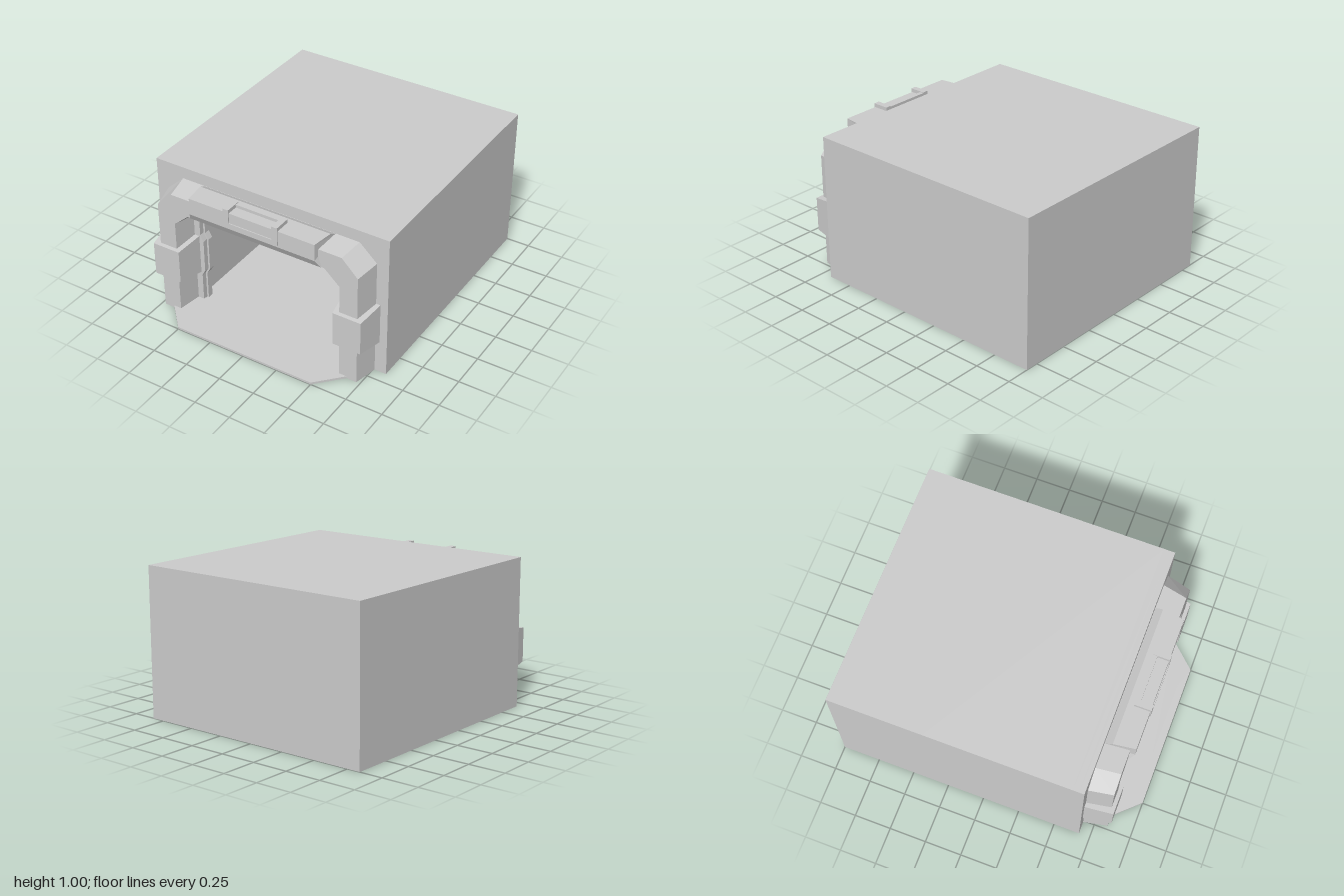
import * as THREE from 'three';

const material = new THREE.MeshStandardMaterial({ color: 0xcccccc, flatShading: true });

function add(parent, name, geometry, x = 0, y = 0, z = 0) {
  const mesh = new THREE.Mesh(geometry, material);
  mesh.name = name;
  mesh.position.set(x, y, z);
  parent.add(mesh);
  return mesh;
}

// Box given by its min and max corners
function box(parent, name, x0, x1, y0, y1, z0, z1) {
  return add(parent, name, new THREE.BoxGeometry(x1 - x0, y1 - y0, z1 - z0),
    (x0 + x1) / 2, (y0 + y1) / 2, (z0 + z1) / 2);
}

// Flat-faced skin over a row of cross-sections, closed at both ends
function loft(sections) {
  const pos = [];
  const tri = (a, b, c) => pos.push(...a, ...b, ...c);
  const n = sections[0].length;
  for (let i = 0; i < sections.length - 1; i++) {
    for (let j = 0; j < n; j++) {
      const k = (j + 1) % n;
      const a = sections[i][j], b = sections[i][k];
      const c = sections[i + 1][k], d = sections[i + 1][j];
      tri(a, d, c);
      tri(a, c, b);
    }
  }
  const first = sections[0], last = sections[sections.length - 1];
  for (let j = 1; j < n - 1; j++) {
    tri(first[0], first[j], first[j + 1]);
    tri(last[0], last[j + 1], last[j]);
  }
  const g = new THREE.BufferGeometry();
  g.setAttribute('position', new THREE.Float32BufferAttribute(pos, 3));
  g.computeVertexNormals();
  return g;
}

const mirrorX = (pts) => pts.map(([x, ...rest]) => [-x, ...rest]);
const toVectors = (pts) => pts.map(([x, y]) => new THREE.Vector2(x, y));

// Symmetric outline from its right half
const symmetric = (half) => toVectors([...half, ...mirrorX(half).reverse()]);

function extrude(outline, hole, depth) {
  const shape = new THREE.Shape(outline);
  if (hole) shape.holes.push(new THREE.Path(hole));
  return new THREE.ExtrudeGeometry(shape, { depth, bevelEnabled: false });
}

// Doorway outline with a waist, widened by d
function doorway(d) {
  return symmetric([
    [0.52 + d, 0.01], [0.52 + d, 0.21], [0.497 + d, 0.25], [0.497 + d, 0.48],
    [0.52 + d, 0.525], [0.52 + d, 0.64], [0.455 + d / 2, 0.702 + d],
  ]);
}

export function createModel() {
  const model = new THREE.Group();

  // Main block: solid rear, hollow room, stepped doorway
  const wall = symmetric([[0.84, 0], [0.84, 1]]);
  const room = symmetric([[0.57, 0.01], [0.57, 0.66], [0.49, 0.74]]);
  box(model, 'rearBlock', -0.84, 0.84, 0, 1, -1, -0.37);
  add(model, 'roomWalls', extrude(wall, room, 0.97), 0, 0, -0.37);
  add(model, 'innerDoorway', extrude(wall, doorway(0), 0.04), 0, 0, 0.6);
  add(model, 'outerDoorway', extrude(wall, doorway(0.013), 0.035), 0, 0, 0.64);

  // Entrance arch: tapered legs and cut shoulders in one sweep
  const zb = 0.67, zf = 0.835;
  const half = [
    [[0.76, 0, zb], [0.725, 0, zf], [0.6, 0, zf], [0.575, 0, zb]],
    [[0.76, 0.81, zb], [0.725, 0.785, zf], [0.6, 0.68, zf], [0.575, 0.665, zb]],
    [[0.64, 0.92, zb], [0.615, 0.895, zf], [0.495, 0.775, zf], [0.485, 0.745, zb]],
  ];
  add(model, 'entranceArch', loft([...half, ...half.map(mirrorX).reverse()]));

  // Lintel beam across the top
  const beamEnd = [
    [0.475, 0.915, zb], [0.47, 0.945, 0.725], [0.45, 0.945, 0.87],
    [0.45, 0.83, 0.87], [0.475, 0.775, 0.84], [0.475, 0.745, zb],
  ];
  add(model, 'lintel', loft([beamEnd, mirrorX(beamEnd)]));

  // Tapered clamp block on each leg
  for (const side of [1, -1]) {
    const g = new THREE.BoxGeometry(0.25, 0.285, 0.19);
    const p = g.attributes.position;
    for (let i = 0; i < p.count; i++) {
      if (p.getZ(i) < 0) continue;
      p.setX(i, p.getX(i) * 0.78);
      p.setY(i, p.getY(i) > 0 ? 0.115 : -0.118);
    }
    g.computeVertexNormals();
    add(model, side > 0 ? 'leftClamp' : 'rightClamp', g, side * 0.665, 0.3725, 0.765);
  }

  // Sign tray above the door with a tilted panel
  const sign = new THREE.Group();
  sign.name = 'sign';
  model.add(sign);
  for (const side of [1, -1]) {
    box(sign, 'signPost', side * 0.175 - 0.02, side * 0.175 + 0.02, 0.845, 0.97, 0.765, 0.877);
  }
  box(sign, 'signSill', -0.155, 0.155, 0.845, 0.875, 0.765, 0.877);
  box(sign, 'signBackBar', -0.155, 0.155, 0.875, 0.965, 0.765, 0.795);
  const panelEnd = [
    [0.155, 0.945, 0.79], [0.155, 0.945, 0.805], [0.155, 0.87, 0.862], [0.155, 0.87, 0.79],
  ];
  add(sign, 'signPanel', loft([panelEnd, mirrorX(panelEnd)]));

  // Threshold plate with a shallow recess (drawn flat, then laid down)
  const plate = symmetric([[0.66, -0.66], [0.66, -0.83], [0.5, -1]]);
  const recess = symmetric([[0.44, -0.735], [0.485, -0.775], [0.485, -0.84], [0.375, -0.955]]);
  const base = add(model, 'thresholdBase', extrude(plate, null, 0.007));
  const rim = add(model, 'thresholdRim', extrude(plate, recess, 0.008), 0, 0.007, 0);
  base.rotation.x = rim.rotation.x = -Math.PI / 2;

  return model;
}
